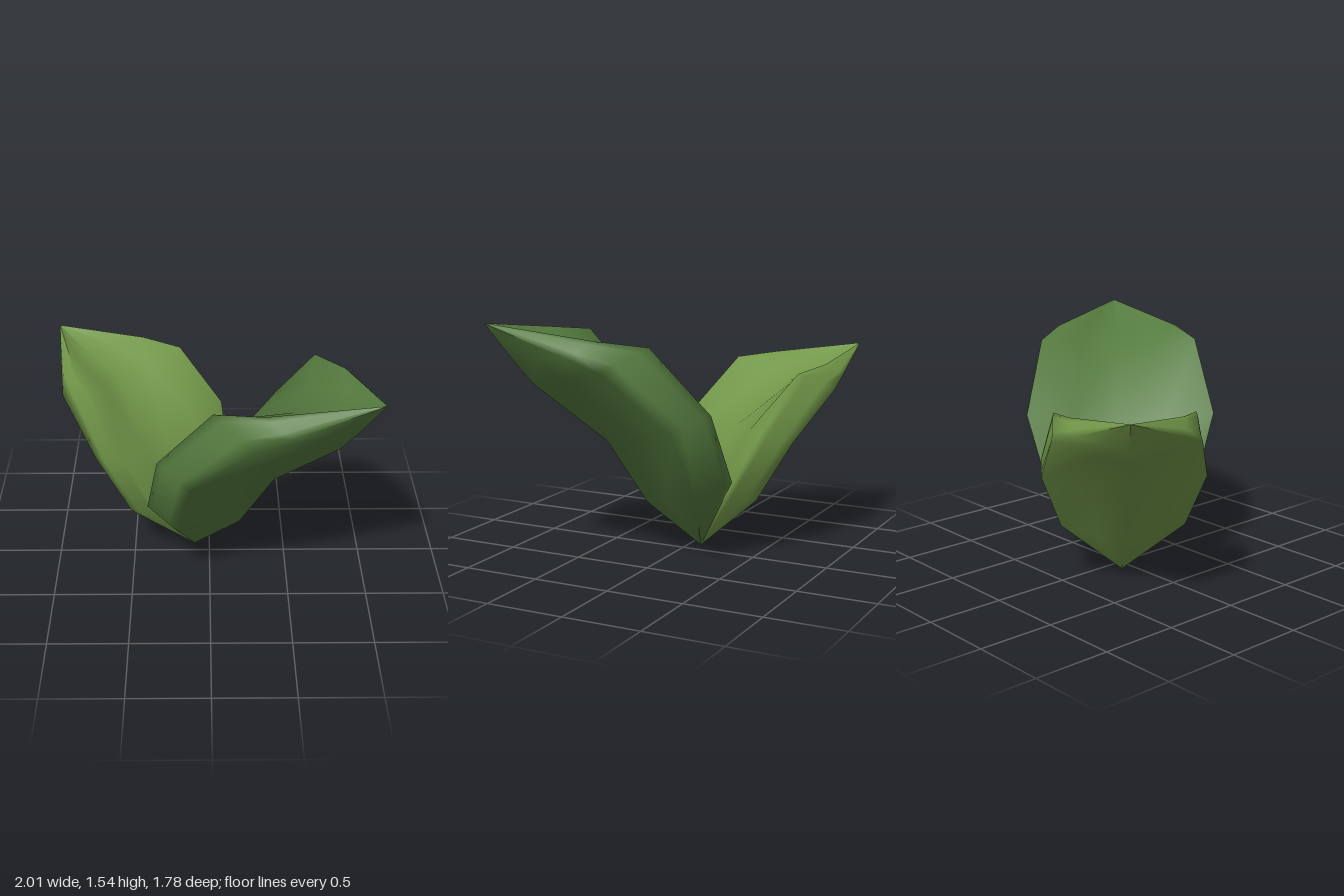
import * as THREE from 'three';

// Leaf cross-sections from base to tip, as [half width, height, reach]
const BASE = [0, 0, 0];
const TIP = [0, 1.54, 1.42];
const SECTIONS = [
  { inner: [0.465, 0.53, 0.0], outer: [0.47, 0.45, 0.25], spine: [0, 0.335, 0.38], floor: [0, 0.51, 0.06] },
  { inner: [0.605, 0.99, 0.21], outer: [0.606, 0.9, 0.48], spine: [0, 0.76, 0.65], floor: [0, 0.94, 0.3] },
  { inner: [0.51, 1.41, 0.57], outer: [0.525, 1.28, 0.89], spine: [0, 1.16, 1.13], floor: [0, 1.28, 0.78] },
  { inner: [0.4, 1.45, 0.87], outer: [0.37, 1.36, 1.05], spine: [0, 1.31, 1.25], floor: [0, 1.38, 1.1] },
];

const flip = (p) => [-p[0], p[1], p[2]];

// Point between the edge and the middle of a section, with its own width
function between(edge, middle, width, depth) {
  return [edge[0] * width, ...[1, 2].map((i) => edge[i] + (middle[i] - edge[i]) * depth)];
}

// Full curve from one half and its middle point
const mirrored = (half, middle) => [...half.map(flip), middle, ...[...half].reverse()];

// Closed loop around one section: thick side walls, rounded underside, cupped top
function loop({ inner, outer, spine, floor }) {
  const wall = [0.2, 0.7].map((t) => between(inner, outer, 1.01, t));
  const underside = mirrored([inner, ...wall, outer, between(outer, spine, 0.42, 0.55)], spine);
  const top = mirrored([between(inner, floor, 0.5, 0.6)], floor).reverse();
  return [...underside, ...top];
}

// Smooth skin over the loops, closed to a point at base and tip
function bladeGeometry() {
  const loops = SECTIONS.map(loop);
  const n = loops[0].length;
  const rows = [Array(n).fill(BASE), ...loops, Array(n).fill(TIP)];
  const index = [];
  for (let i = 0; i < rows.length - 1; i++) {
    for (let j = 0; j < n; j++) {
      const a = i * n + j, b = i * n + (j + 1) % n;
      const c = a + n, d = b + n;
      if (i > 0) index.push(a, b, d);
      if (i < rows.length - 2) index.push(a, d, c);
    }
  }
  // The last quad row meets the tip, so its remaining corner triangles are already closed
  const g = new THREE.BufferGeometry();
  g.setAttribute('position', new THREE.Float32BufferAttribute(rows.flat(2), 3));
  g.setIndex(index);
  g.computeVertexNormals();
  return g;
}

export function createModel() {
  const darkGreen = new THREE.MeshStandardMaterial({ color: 0x557b3f });
  darkGreen.name = 'darkGreen';
  const lightGreen = new THREE.MeshStandardMaterial({ color: 0x719648 });
  lightGreen.name = 'lightGreen';

  const model = new THREE.Group();
  model.name = 'sprout';
  const heading = Math.atan2(0.771, 0.637);
  const blade = bladeGeometry();

  // Both leaves grow from the same point, in opposite directions
  const addLeaf = (name, material, turn, size) => {
    const leaf = new THREE.Mesh(blade, material);
    leaf.name = name;
    leaf.rotation.y = heading + turn;
    leaf.scale.setScalar(size);
    leaf.position.set(-0.1, 0, -0.08);
    model.add(leaf);
  };
  addLeaf('largeLeaf', darkGreen, 0, 1);
  addLeaf('smallLeaf', lightGreen, Math.PI, 0.833);
  return model;
}
